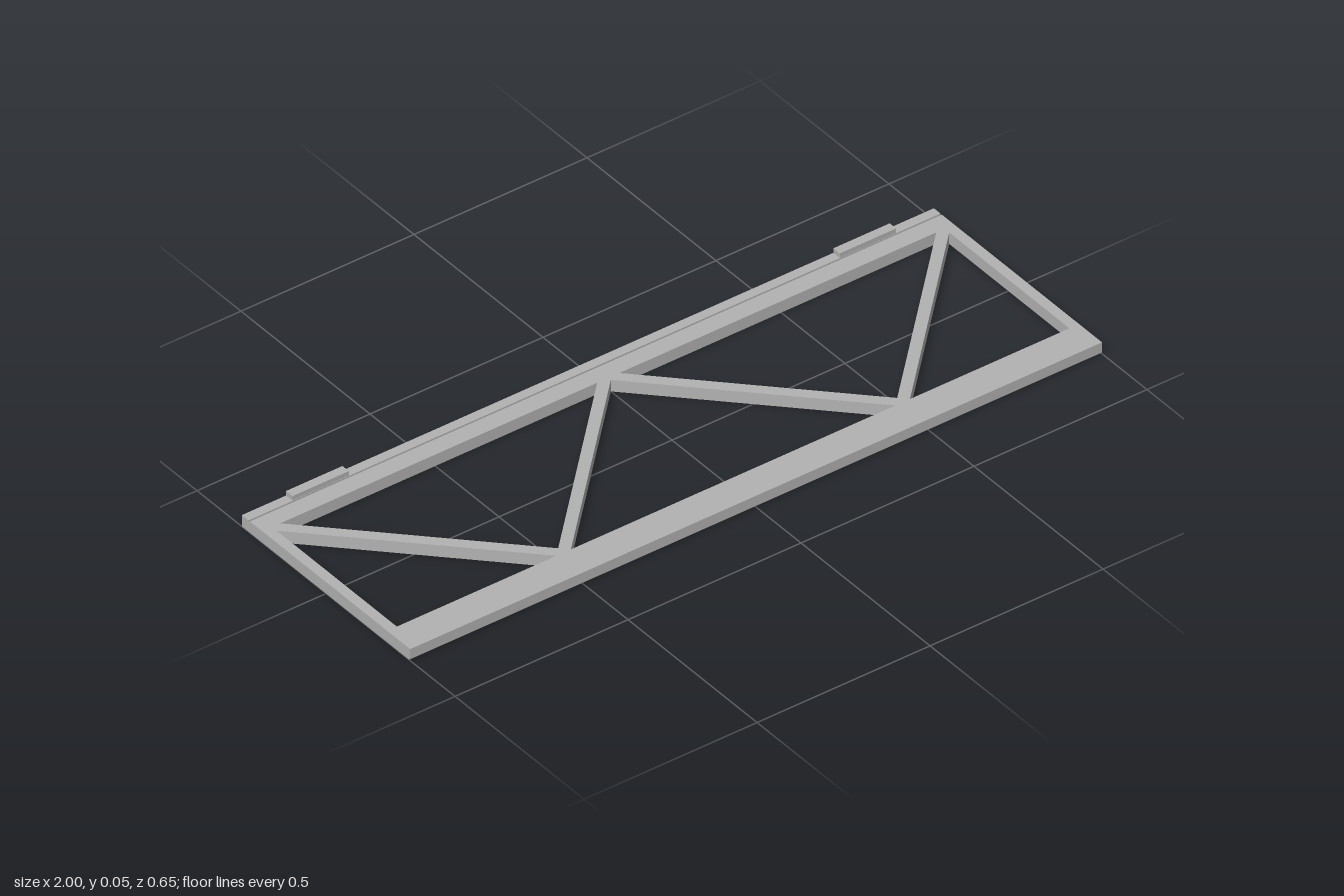
import * as THREE from 'three';

const H = 0.033;                 // frame height
const BACK = -0.247, FRONT = 0.237; // inner edges of the rails

export function createModel() {
  const model = new THREE.Group();
  model.name = 'trussFrame';
  const grey = new THREE.MeshStandardMaterial({ color: 0xb2b2b2 });
  grey.name = 'plainGrey';

  const add = (name, geometry) => {
    const mesh = new THREE.Mesh(geometry, grey);
    mesh.name = name;
    model.add(mesh);
    return mesh;
  };
  const extrude = (points, depth) => new THREE.ExtrudeGeometry(
    new THREE.Shape(points.map(([a, b]) => new THREE.Vector2(a, b))),
    { depth, bevelEnabled: false });

  // Rails: (z, y) profiles swept along x
  const rail = (name, profile) =>
    add(name, extrude(profile, 2).translate(0, 0, -1).rotateY(-Math.PI / 2));

  // Front rail with a small chamfer along its lower outer edge
  rail('frontRail', [[FRONT, 0], [0.322, 0], [0.326, 0.004], [0.326, H], [FRONT, H]]);

  // Back rail with a shallow groove in its top
  rail('backRail', [[-0.326, 0], [BACK, 0], [BACK, H], [-0.295, H],
    [-0.295, 0.028], [-0.3, 0.028], [-0.3, H], [-0.326, H]]);

  for (const s of [-1, 1]) {
    const side = s > 0 ? 'left' : 'right';

    // End posts joining the rails
    add(side + 'EndPost', new THREE.BoxGeometry(0.028, H, FRONT - BACK))
      .position.set(s * 0.986, H / 2, (FRONT + BACK) / 2);

    // Raised tabs on the back edge
    add(side + 'Tab', new THREE.BoxGeometry(0.163, 0.013, 0.025))
      .position.set(s * 0.791, H + 0.0065, -0.3135);

    // Diagonal struts: outer and inner on each half
    for (const [name, xBack] of [['OuterStrut', 0.969], ['InnerStrut', 0.011]]) {
      const b = s * xBack, f = s * 0.49, w = 0.021;
      add(side + name, extrude(
        [[b - w, -BACK], [f - w, -FRONT], [f + w, -FRONT], [b + w, -BACK]], H)
        .rotateX(-Math.PI / 2));
    }
  }
  return model;
}
